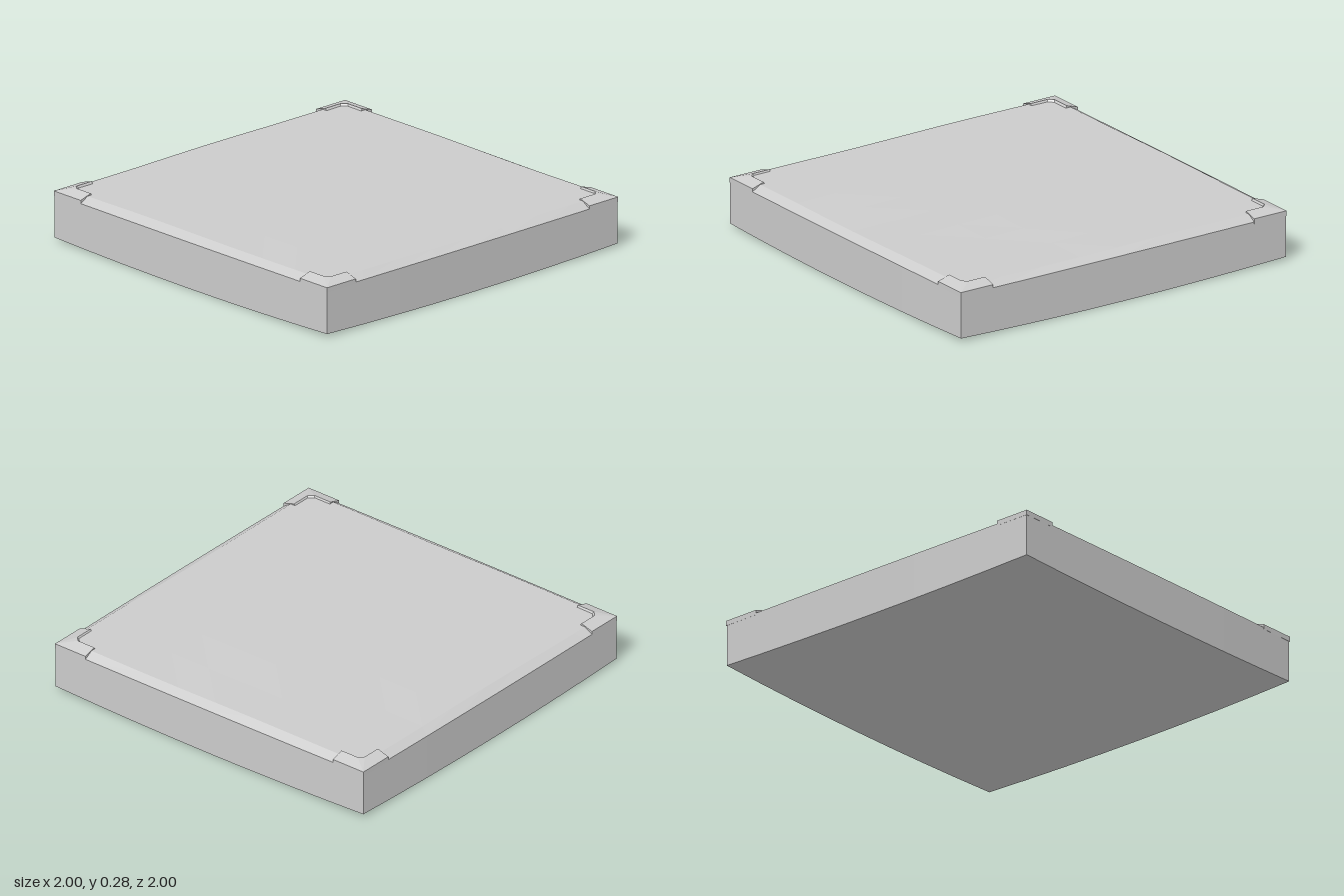
import * as THREE from 'three';

const material = new THREE.MeshStandardMaterial({ color: 0xcccccc, flatShading: true });

// Slab with chamfered upper edge, gently uneven top and slightly sagging underside
function makeSlab() {
  const geo = new THREE.BoxGeometry(2, 2, 2, 8, 2, 8);
  const pos = geo.attributes.position;
  for (let i = 0; i < pos.count; i++) {
    const x = pos.getX(i), y = pos.getY(i), z = pos.getZ(i);
    const middle = (1 - x * x * z * z);
    const bow = (c, other) => c * (0.995 + 0.005 * (1 - other * other));
    let px = bow(x, z), pz = bow(z, x), py;
    if (y < -0.5) {
      py = 0.016 - 0.016 * middle;
    } else if (y < 0.5) {
      py = 0.245;
    } else {
      const inner = (1 - x * x) * (1 - z * z);
      px = x * 0.95;
      pz = z * 0.95;
      py = 0.273 + 0.005 * inner + 0.003 * Math.sin(4.1 * x + 1.7 * z) * Math.cos(3.3 * z - 1.2 * x);
    }
    pos.setXYZ(i, px, py, pz);
  }
  const flat = geo.toNonIndexed();
  flat.computeVertexNormals();
  return flat;
}

// L-shaped corner bracket: a ridge profile [inset, height, corner rounding] mitred round the corner
function makeBracket() {
  const profile = [[0, 0.235, 0], [0, 0.262, 0], [0.068, 0.283, 0.025], [0.085, 0.255, 0.025]];
  const edge = 0.997, end = 0.8;
  const stations = [
    (d) => [end, edge - d],
    (d, r) => [edge - d - r, edge - d],
    (d, r) => [edge - d, edge - d - r],
    (d) => [edge - d, end],
  ];
  const n = profile.length;
  const vertices = [];
  for (const station of stations) {
    for (const [d, h, r] of profile) {
      const [x, z] = station(d, r);
      vertices.push(x, h, z);
    }
  }
  const index = [];
  for (let s = 0; s < stations.length - 1; s++) {
    for (let p = 0; p < n; p++) {
      const q = (p + 1) % n;
      const a = s * n + p, b = s * n + q, c = a + n, d = b + n;
      index.push(a, c, d, a, d, b);
    }
  }
  // End caps
  const last = (stations.length - 1) * n;
  index.push(0, 1, 2, 0, 2, 3, last, last + 2, last + 1, last, last + 3, last + 2);
  const geo = new THREE.BufferGeometry();
  geo.setAttribute('position', new THREE.Float32BufferAttribute(vertices, 3));
  geo.setIndex(index);
  const flat = geo.toNonIndexed();
  flat.computeVertexNormals();
  return flat;
}

export function createModel() {
  const model = new THREE.Group();
  model.name = 'floorTile';

  const slab = new THREE.Mesh(makeSlab(), material);
  slab.name = 'slab';
  model.add(slab);

  // One bracket per corner
  const bracketGeometry = makeBracket();
  const names = ['frontLeftBracket', 'backLeftBracket', 'backRightBracket', 'frontRightBracket'];
  names.forEach((name, i) => {
    const bracket = new THREE.Mesh(bracketGeometry, material);
    bracket.name = name;
    bracket.rotation.y = i * Math.PI / 2;
    model.add(bracket);
  });
  return model;
}
